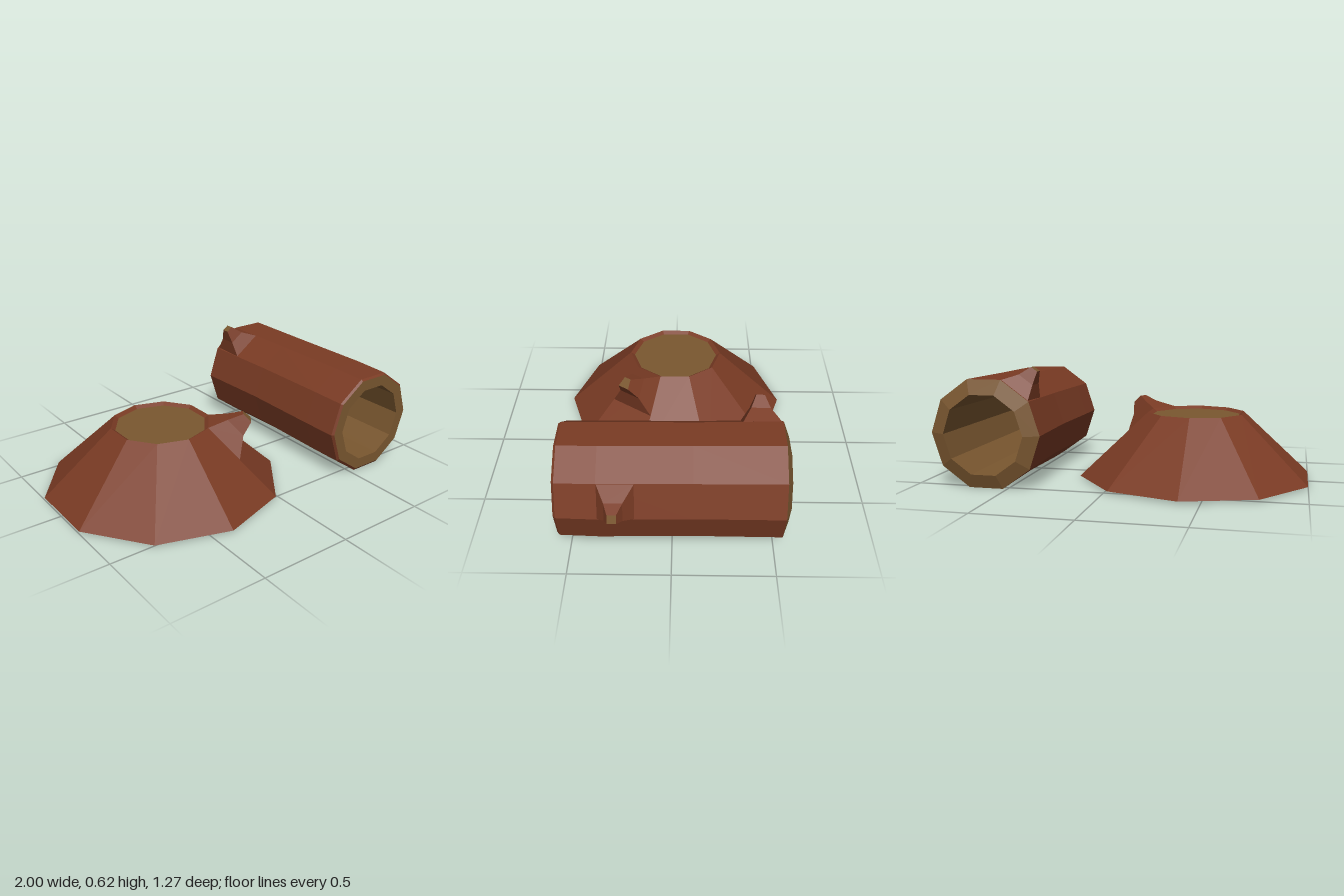
import * as THREE from 'three';

const SIDES = 10;
const bark = new THREE.MeshStandardMaterial({ color: 0x7a3b24, flatShading: true });
const wood = new THREE.MeshStandardMaterial({ color: 0x7a5730, flatShading: true });

// Skin a list of rings (counter-clockwise seen from the last ring's end)
function loft(rings, { side = true, startCap = false, endCap = false } = {}) {
  const n = rings[0].length, pos = [];
  const tri = (...pts) => pts.forEach(p => pos.push(p.x, p.y, p.z));
  for (let r = 0; side && r < rings.length - 1; r++) {
    for (let i = 0; i < n; i++) {
      const j = (i + 1) % n, a = rings[r], b = rings[r + 1];
      tri(a[i], a[j], b[j]);
      tri(a[i], b[j], b[i]);
    }
  }
  const first = rings[0], last = rings[rings.length - 1];
  for (let i = 1; i < n - 1; i++) {
    if (startCap) tri(first[0], first[i + 1], first[i]);
    if (endCap) tri(last[0], last[i], last[i + 1]);
  }
  const g = new THREE.BufferGeometry();
  g.setAttribute('position', new THREE.Float32BufferAttribute(pos, 3));
  g.computeVertexNormals();
  return g;
}

function addMesh(parent, name, geometry, material) {
  const m = new THREE.Mesh(geometry, material);
  m.name = name;
  parent.add(m);
}

const ringPoints = f => Array.from({ length: SIDES }, (_, i) => f((i / SIDES) * Math.PI * 2));

// Broken branch stub growing out of a four-cornered patch of bark
function addBranch(parent, name, base, mid, midScale, tip, tipScale) {
  const centre = base.reduce((s, p) => s.add(p), new THREE.Vector3()).multiplyScalar(1 / 4);
  const shrink = (c, k) => base.map(p => p.clone().sub(centre).multiplyScalar(k).add(c));
  const end = shrink(tip, tipScale);
  const branch = new THREE.Group();
  branch.name = name;
  addMesh(branch, name + 'Bark', loft([base, shrink(mid, midScale), end]), bark);
  addMesh(branch, name + 'End', loft([end], { side: false, endCap: true }), wood);
  parent.add(branch);
}

const V = (x, y, z) => new THREE.Vector3(x, y, z);

function createStump() {
  const stump = new THREE.Group();
  stump.name = 'stump';
  const point = (a, r, y) => V(-0.395 + r * Math.cos(a), y, -r * Math.sin(a));
  const ring = (r, y) => ringPoints(a => point(a + Math.PI / 10, r, y));
  const inner = ring(0.243, 0.345);

  // flared bark with a thin raised rim around the cut
  addMesh(stump, 'stumpBark', loft([ring(0.635, 0.015), ring(0.265, 0.36), inner], { startCap: true }), bark);
  addMesh(stump, 'stumpCut', loft([inner], { side: false, endCap: true }), wood);

  // branch on the front left face
  const corner = (deg, r, y) => point(-THREE.MathUtils.degToRad(deg), r, y);
  addBranch(stump, 'stumpBranch',
    [corner(18, 0.437, 0.2), corner(18, 0.265, 0.36), corner(54, 0.265, 0.36), corner(54, 0.437, 0.2)],
    V(-0.075, 0.345, 0.23), 0.5, V(-0.03, 0.392, 0.273), 0.25);
  return stump;
}

function createLog() {
  const log = new THREE.Group();
  log.name = 'hollowLog';
  const ring = ([z, r, x = 0.615, y = 0.281]) =>
    ringPoints(a => V(x + r * Math.cos(a), y + r * Math.sin(a), z));
  const back = [-0.535, 0.294, 0.613, 0.283], front = [0.555, 0.275];

  // slightly crooked bark, back to front
  addMesh(log, 'logBark', loft([
    back, [-0.1, 0.288, 0.619, 0.284], [0.35, 0.291, 0.62, 0.279], [0.543, 0.287, 0.617, 0.278], front,
  ].map(ring)), bark);
  // front cut, hollow and bevelled back cut
  addMesh(log, 'logWood', loft([front, [0.555, 0.215], [-0.565, 0.215], back].map(ring)), wood);

  // branches: one on the left side near the front, one on the upper right at the back
  const patch = (xLow, xHigh, yLow, yHigh, zA, zB) =>
    [V(xLow, yLow, zA), V(xHigh, yHigh, zA), V(xHigh, yHigh, zB), V(xLow, yLow, zB)];
  addBranch(log, 'logFrontBranch', patch(0.905, 0.85, 0.28, 0.453, 0.17, 0.35),
    V(0.945, 0.362, 0.265), 0.48, V(0.992, 0.363, 0.268), 0.24);
  addBranch(log, 'logBackBranch', patch(0.382, 0.526, 0.455, 0.56, -0.34, -0.53),
    V(0.41, 0.56, -0.43), 0.5, V(0.373, 0.612, -0.43), 0.22);
  return log;
}

export function createModel() {
  const model = new THREE.Group();
  model.name = 'stumpAndLog';
  model.add(createStump(), createLog());
  return model;
}
